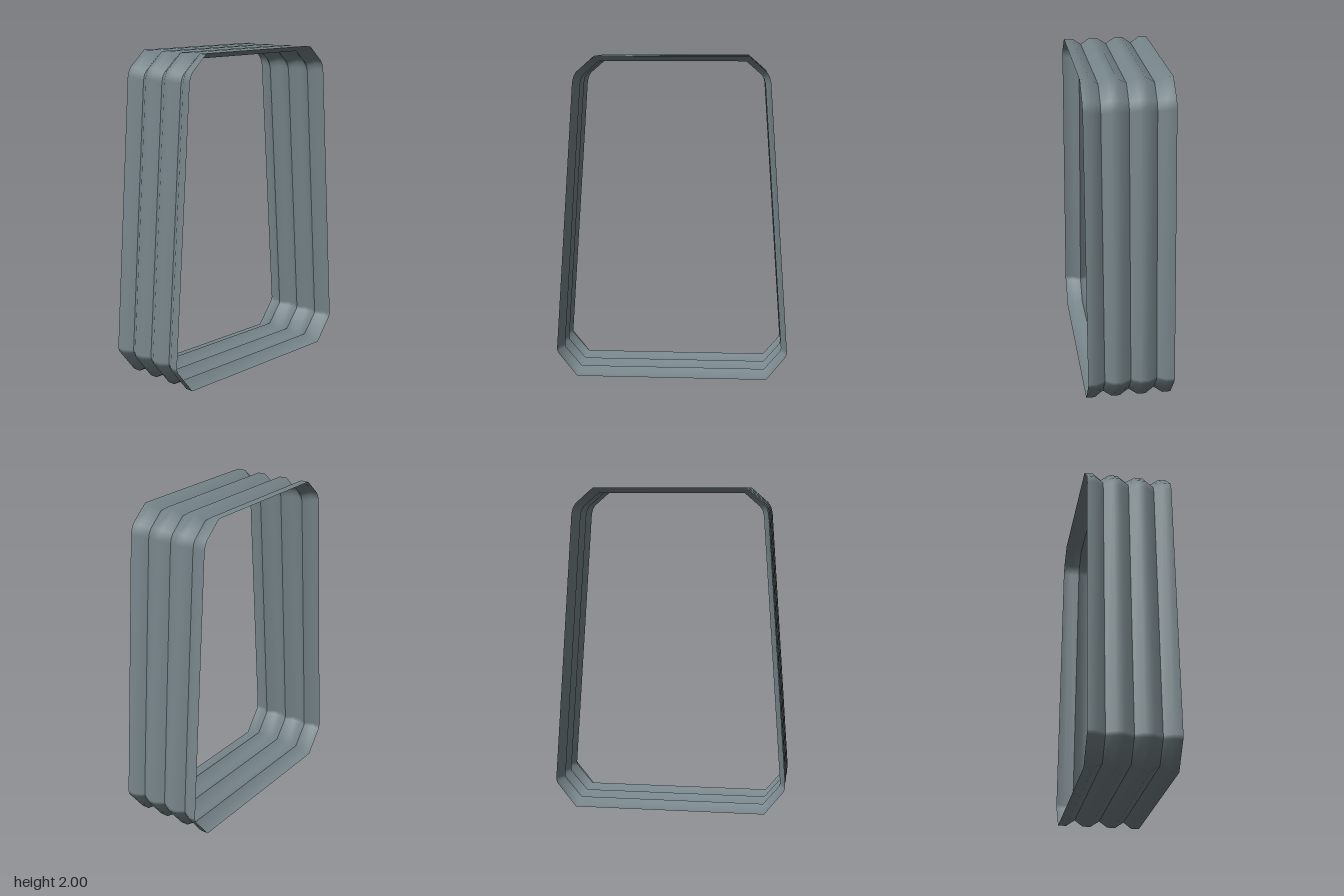
import * as THREE from 'three';

// Right half of the outline, top to bottom: [ridge x, ridge y, valley x, valley y]
const HALF = [
  [0.463, 2.0, 0.448, 1.967],
  [0.572, 1.905, 0.543, 1.885],
  [0.587, 1.88, 0.557, 1.862],
  [0.597, 1.845, 0.565, 1.83],
  [0.721, 0.175, 0.687, 0.175],
  [0.714, 0.15, 0.682, 0.155],
  [0.595, 0.0, 0.582, 0.035],
];
// Closed loop, clockwise from the front
const LOOP = [...HALF, ...HALF.slice().reverse().map(([a, b, c, d]) => [-a, b, -c, d])];

// One fold of the bellows: sections are [z, 0 = ridge | 1 = valley], front to back
function foldGeometry(sections) {
  const positions = [], index = [], n = LOOP.length;
  for (const [z, inset] of sections)
    for (const p of LOOP) positions.push(p[inset * 2], p[inset * 2 + 1], z);
  for (let j = 0; j < sections.length - 1; j++)
    for (let i = 0; i < n; i++) {
      const a = j * n + i, b = j * n + (i + 1) % n;
      index.push(a, b, a + n, b, b + n, a + n);
    }
  const geometry = new THREE.BufferGeometry();
  geometry.setAttribute('position', new THREE.Float32BufferAttribute(positions, 3));
  geometry.setIndex(index);
  geometry.computeVertexNormals();
  return geometry;
}

export function createModel() {
  const rubber = new THREE.MeshStandardMaterial({ color: 0x77858a, side: THREE.DoubleSide });
  rubber.name = 'grey rubber';

  const bellows = new THREE.Group();
  bellows.name = 'gangwayBellows';

  // Separate folds keep the valleys between them sharp
  const folds = {
    frontFold: [[0.265, 0], [0.212, 0], [0.16, 1]],
    frontMiddleFold: [[0.16, 1], [0.106, 0], [0.056, 0], [0, 1]],
    backMiddleFold: [[0, 1], [-0.056, 0], [-0.106, 0], [-0.16, 1]],
    backFold: [[-0.16, 1], [-0.212, 0], [-0.265, 0]],
  };
  for (const [name, sections] of Object.entries(folds)) {
    const fold = new THREE.Mesh(foldGeometry(sections), rubber);
    fold.name = name;
    bellows.add(fold);
  }
  return bellows;
}
